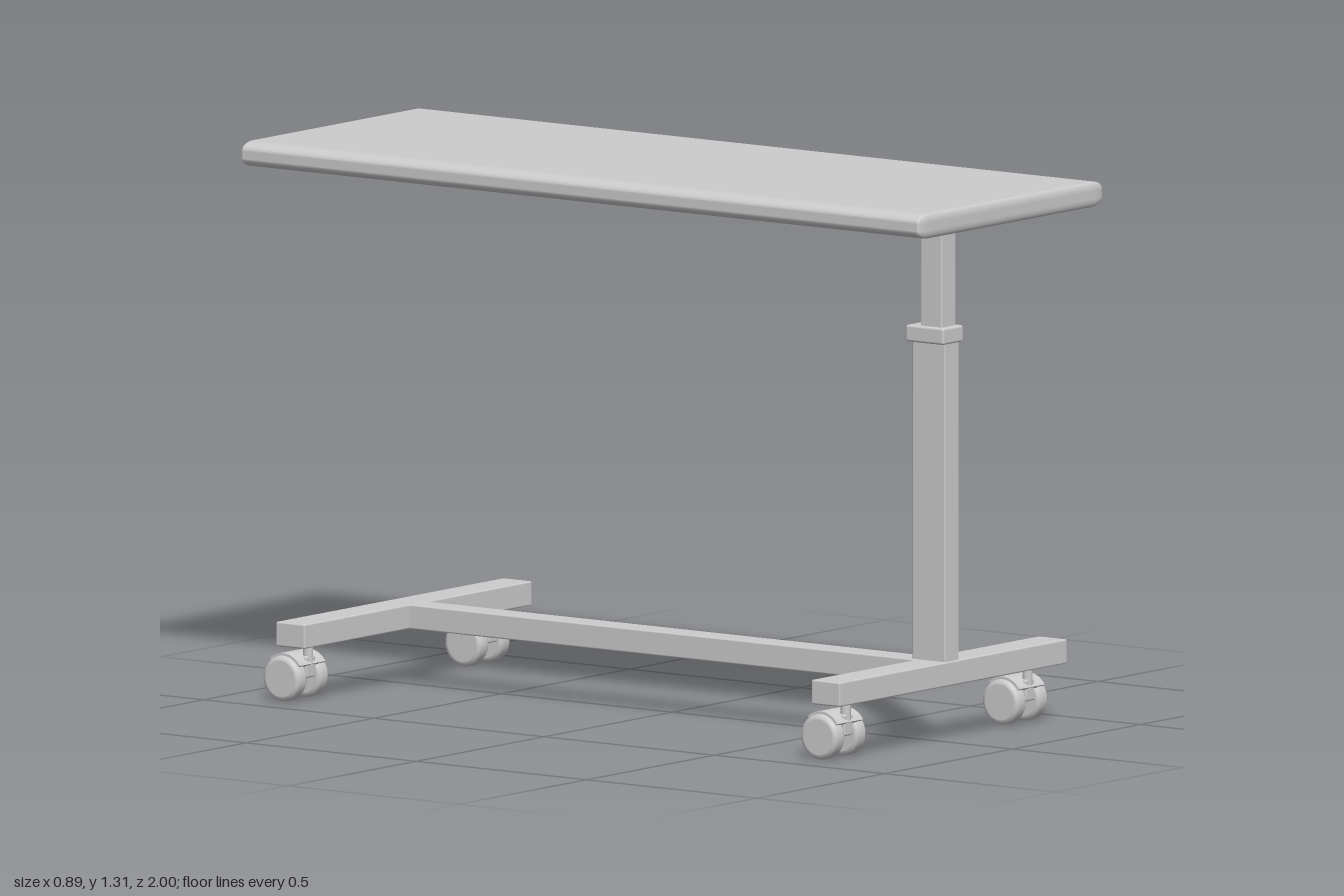
import * as THREE from 'three';
import { RoundedBoxGeometry } from 'three/addons/geometries/RoundedBoxGeometry.js';

const material = new THREE.MeshStandardMaterial({ color: 0xcccccc });

function add(parent, name, geometry, x = 0, y = 0, z = 0) {
  const mesh = new THREE.Mesh(geometry, material);
  mesh.name = name;
  mesh.position.set(x, y, z);
  parent.add(mesh);
  return mesh;
}

// Softened box given by its limits on each axis
function bar(parent, name, [x0, x1], [y0, y1], [z0, z1], radius = 0.004) {
  const geometry = new RoundedBoxGeometry(x1 - x0, y1 - y0, z1 - z0, 2, radius);
  return add(parent, name, geometry, (x0 + x1) / 2, (y0 + y1) / 2, (z0 + z1) / 2);
}

// Wheel with rounded rims, turned so its axis runs along x
function wheelGeometry(radius, width) {
  const h = width / 2;
  const profile = [
    [0, -h], [radius - 0.012, -h], [radius - 0.01, -h],
    [radius - 0.003, -h + 0.003], [radius, -h + 0.009],
    [radius, h - 0.009], [radius - 0.003, h - 0.003],
    [radius - 0.01, h], [radius - 0.012, h], [0, h],
  ].map(([r, y]) => new THREE.Vector2(r, y));
  return new THREE.LatheGeometry(profile, 32).rotateZ(Math.PI / 2);
}

// Curved hood over the wheels, swept around the axle
function fenderGeometry(inner, outer, start, end, width) {
  const shape = new THREE.Shape();
  shape.absarc(0, 0, outer, start, end, false);
  shape.absarc(0, 0, inner, end, start, true);
  return new THREE.ExtrudeGeometry(shape, { depth: width, bevelEnabled: false, curveSegments: 16 })
    .translate(0, 0, -width / 2)
    .rotateY(-Math.PI / 2);
}

// Twin-wheel caster; the axle trails behind the stem
function makeCaster() {
  const caster = new THREE.Group();
  caster.name = 'caster';
  for (const side of [-1, 1]) {
    add(caster, 'wheel', wheelGeometry(0.054, 0.038), side * 0.042, 0.06, 0);
  }
  add(caster, 'axle', new THREE.CylinderGeometry(0.017, 0.017, 0.06, 20).rotateZ(Math.PI / 2), 0, 0.06, 0);
  add(caster, 'fender', fenderGeometry(0.05, 0.06, Math.PI * 0.19, Math.PI * 0.72, 0.1), 0, 0.06, 0);
  bar(caster, 'stemSocket', [-0.018, 0.018], [0.06, 0.112], [-0.01, 0.045], 0.005);
  add(caster, 'stem', new THREE.CylinderGeometry(0.012, 0.012, 0.055, 16), 0, 0.118, 0.036);
  return caster;
}

export function createModel() {
  const model = new THREE.Group();
  model.name = 'overbedTable';

  // Tabletop: rounded box stretched so its long edges are softer than its ends
  const top = add(model, 'tabletop', new RoundedBoxGeometry(0.362, 0.06, 4, 5, 0.021), 0, 1.284, 0);
  top.scale.set(2, 1, 0.5);

  // Base frame
  bar(model, 'frontCrossbar', [-0.445, 0.445], [0.142, 0.2], [0.743, 0.827]);
  bar(model, 'rearCrossbar', [-0.445, 0.445], [0.142, 0.2], [-0.83, -0.745]);
  bar(model, 'connectingBeam', [-0.035, 0.035], [0.142, 0.2], [-0.76, 0.76]);

  // Telescoping column
  bar(model, 'outerColumn', [-0.028, 0.028], [0.19, 0.96], [0.726, 0.823]);
  bar(model, 'collar', [-0.04, 0.04], [0.953, 0.993], [0.715, 0.827], 0.006);
  bar(model, 'innerColumn', [-0.028, 0.028], [0.97, 1.246], [0.75, 0.813]);

  // Four casters
  for (const x of [-0.355, 0.355]) {
    for (const z of [0.741, -0.838]) {
      const caster = makeCaster();
      caster.position.set(x, 0, z);
      model.add(caster);
    }
  }
  return model;
}
